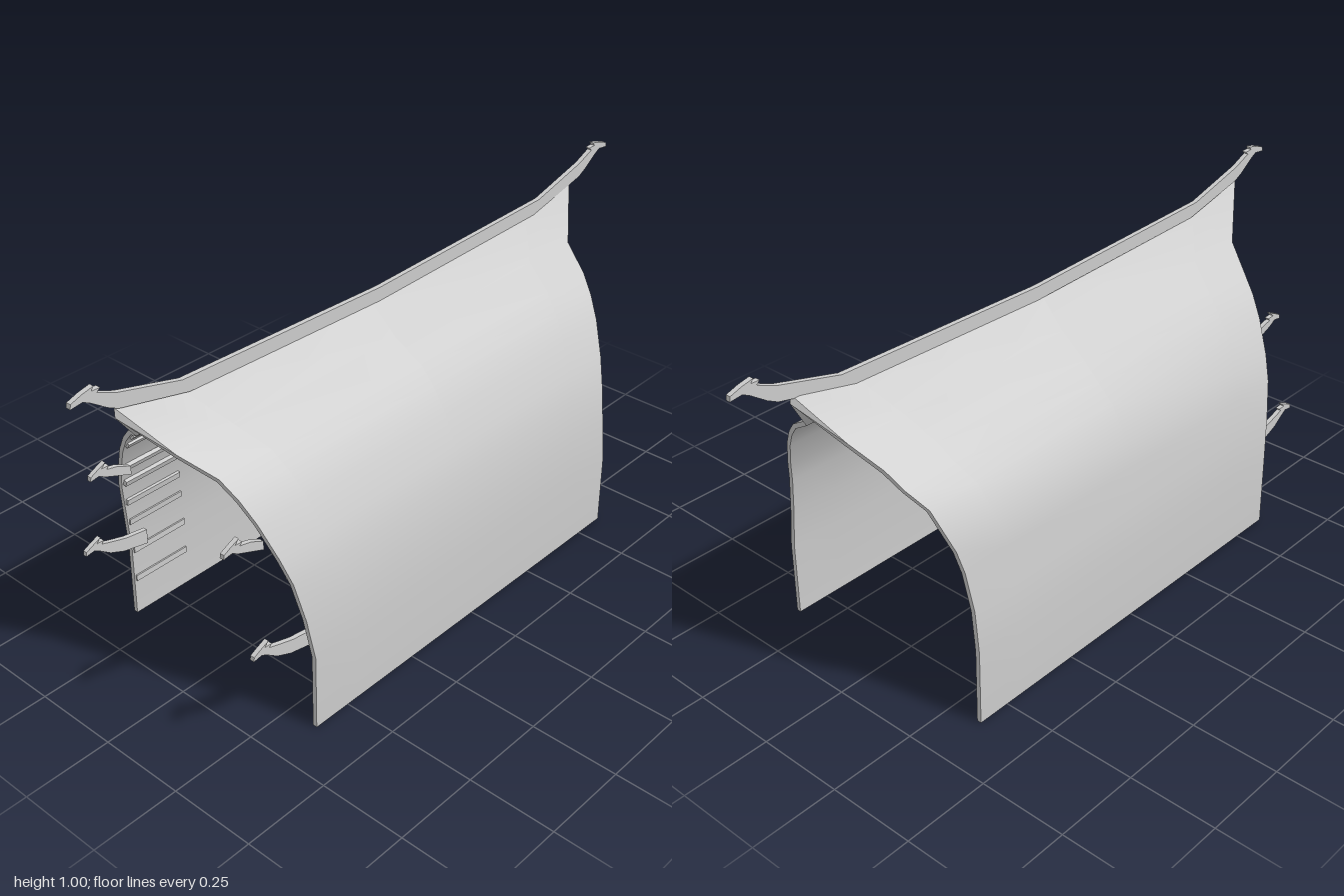
import * as THREE from 'three';
import { toCreasedNormals } from 'three/addons/utils/BufferGeometryUtils.js';

const material = new THREE.MeshStandardMaterial({ color: 0xcccccc });

// Half section of the roof: x, y, back z, front z, outward bulge x, bulge y
const HALF = [
  [0.348, 0, -0.597, 0.615, 0, 0],
  [0.348, 0.22, -0.597, 0.612, 0, 0],
  [0.336, 0.34, -0.597, 0.628, 0, 0],
  [0.317, 0.45, -0.607, 0.648, 0, 0],
  [0.291, 0.52, -0.628, 0.665, 0.02, 0],
  [0.245, 0.612, -0.66, 0.688, 0.015, 0.018],
  [0.205, 0.67, -0.682, 0.705, 0, 0],
  [0.16, 0.717, -0.703, 0.722, 0, 0],
  [0.077, 0.772, -0.737, 0.772, 0, 0],
  [0, 0.917, -0.832, 0.878, 0, 0],
];
const THICK = 0.013;

function mesh(geometry, name) {
  const m = new THREE.Mesh(geometry, material);
  m.name = name;
  return m;
}

// Curved roof shell: closed thick section swept from back to front
function roofGeometry() {
  const left = HALF.map((p) => ({ x: p[0], y: p[1], zb: p[2], zf: p[3], bx: 0, by: 0 }));
  const right = HALF.slice(0, -1).reverse()
    .map((p) => ({ x: -p[0], y: p[1], zb: p[2], zf: p[3], bx: -p[4], by: p[5] }));
  const outer = [...left, ...right];
  const n = outer.length;
  const edgeNormal = (a, b) => new THREE.Vector2(b.y - a.y, a.x - b.x).normalize();
  // mitred inner copy of the section
  const inner = outer.map((p, i) => {
    const n1 = edgeNormal(outer[Math.max(i - 1, 0)], outer[Math.max(i, 1)]);
    const n2 = edgeNormal(outer[Math.min(i, n - 2)], outer[Math.min(i + 1, n - 1)]);
    const m = n1.clone().add(n2).normalize();
    const d = THICK / m.dot(n1);
    return { ...p, x: p.x - m.x * d, y: p.y - m.y * d };
  });
  const ring = [...outer, ...inner.reverse()];
  const N = ring.length;
  const stations = [0, 0.12, 0.5, 0.88, 1];
  const sag = [0, 0.048, 0.068, 0.048, 0];
  const pos = [], index = [];
  stations.forEach((t, k) => ring.forEach((p) => {
    const apex = Math.abs(p.x) < 1e-4 ? sag[k] : 0;
    pos.push(p.x + p.bx * (1 - t), p.y + p.by * (1 - t) - apex, p.zb + (p.zf - p.zb) * t);
  }));
  const quad = (a, b, c, d) => index.push(a, b, c, a, c, d);
  for (let k = 0; k < stations.length - 1; k++) {
    for (let i = 0; i < N; i++) {
      const j = (i + 1) % N;
      quad(k * N + i, k * N + j, (k + 1) * N + j, (k + 1) * N + i);
    }
  }
  const last = (stations.length - 1) * N;
  for (let i = 0; i < n - 1; i++) {
    const a = i, b = i + 1, c = N - 2 - i, d = N - 1 - i;
    quad(last + a, last + b, last + c, last + d);
    quad(d, c, b, a);
  }
  const g = new THREE.BufferGeometry();
  g.setAttribute('position', new THREE.Float32BufferAttribute(pos, 3));
  g.setIndex(index);
  return toCreasedNormals(g, 0.6);
}

// Flat board cut from a (z, y) outline, centred on x = 0
function board(points, width) {
  const shape = new THREE.Shape(points.map(([z, y]) => new THREE.Vector2(-z, y)));
  const g = new THREE.ExtrudeGeometry(shape, { depth: width, bevelEnabled: false });
  g.translate(0, 0, -width / 2);
  g.rotateY(Math.PI / 2);
  return g;
}

export function createModel() {
  const group = new THREE.Group();
  group.add(mesh(roofGeometry(), 'roofShell'));

  // Ridge beam with a carved head at each end
  const top = [[0.68, 0.905], [0.87, 0.956], [0.925, 0.98], [0.915, 0.989], [0.94, 0.99],
    [0.932, 1.0], [0.965, 0.993], [0.998, 0.982]];
  const under = [[1.0, 0.969], [0.965, 0.973], [0.945, 0.962], [0.9, 0.93], [0.87, 0.914], [0.66, 0.865]];
  const end = [...top, ...under];
  const flip = end.map(([z, y]) => [-z, y]).reverse();
  group.add(mesh(board([[0, 0.884], ...end, [0, 0.845], ...flip], 0.014), 'ridgeBeam'));

  // Carved heads on curved necks along the front edge, relative to the snout
  const head = [[-0.05, 0.012], [-0.058, 0.02], [-0.035, 0.021], [-0.048, 0.034], [-0.02, 0.022], [0, 0.012],
    [0.002, 0], [-0.025, 0.004], [-0.045, -0.008]];
  const necks = [
    { x: 0.237, y: 0.571, z: 0.795, rear: [[-0.08, -0.022], [-0.125, -0.04], [-0.125, -0.015], [-0.085, 0.004]] },
    { x: 0.308, y: 0.301, z: 0.783,
      rear: [[-0.075, -0.03], [-0.12, -0.049], [-0.2, -0.066], [-0.2, -0.022], [-0.13, -0.012], [-0.085, 0.001]] },
  ];
  for (const side of [1, -1]) {
    for (const nk of necks) {
      const m = mesh(board([...head, ...nk.rear], 0.013), 'carvedHead');
      m.position.set(side * nk.x, nk.y, nk.z);
      group.add(m);
    }
  }

  // Short battens lining the inside of the front edge
  const battens = [[0.109, 0.735], [0.17, 0.686], [0.212, 0.636], [0.264, 0.532], [0.293, 0.463],
    [0.312, 0.388], [0.327, 0.312], [0.336, 0.209], [0.336, 0.115]];
  for (const side of [1, -1]) {
    for (const [x, y] of battens) {
      const i = HALF.findIndex((p) => p[1] > y);
      const a = HALF[i - 1], b = HALF[i];
      const f = (y - a[1]) / (b[1] - a[1]);
      const front = a[3] + (b[3] - a[3]) * f;
      const m = mesh(new THREE.BoxGeometry(0.011, 0.018, 0.18), 'batten');
      m.position.set(side * x, y, front - 0.095);
      m.rotation.z = side * Math.atan2(a[0] - b[0], b[1] - a[1]);
      group.add(m);
    }
  }
  return group;
}
